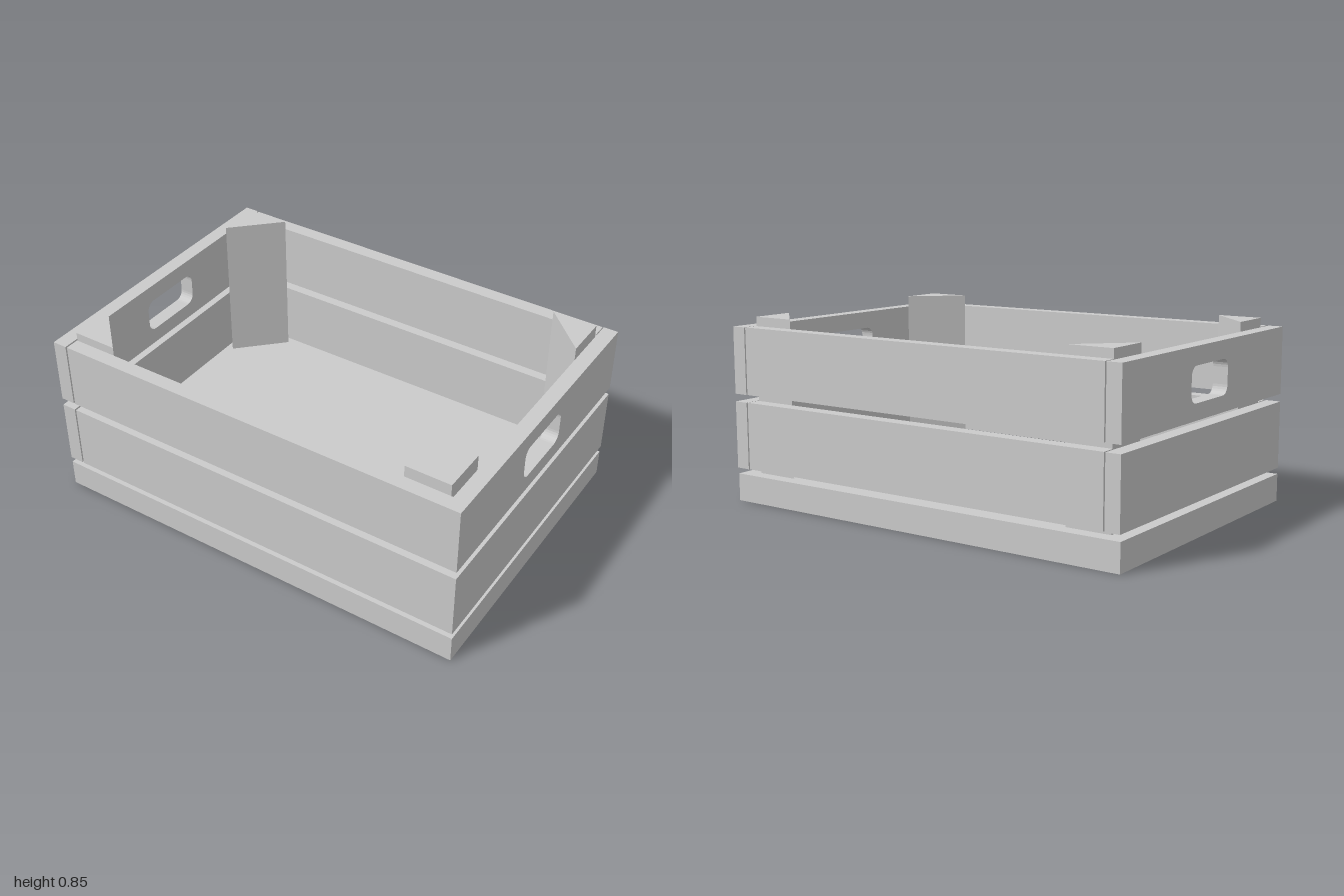
import * as THREE from 'three';

const material = new THREE.MeshStandardMaterial({ color: 0xcccccc, flatShading: true });

function add(group, name, geometry) {
  const mesh = new THREE.Mesh(geometry, material);
  mesh.name = name;
  group.add(mesh);
  return mesh;
}

// Box given by its extents along each axis
function board(group, name, [x0, x1], [y0, y1], [z0, z1]) {
  const mesh = add(group, name, new THREE.BoxGeometry(x1 - x0, y1 - y0, z1 - z0));
  mesh.position.set((x0 + x1) / 2, (y0 + y1) / 2, (z0 + z1) / 2);
}

// Rounded hand hole, drawn in (z, y)
function handHole(w, y0, y1, r) {
  const p = new THREE.Path();
  p.moveTo(-w + r, y0);
  p.lineTo(w - r, y0);
  p.absarc(w - r, y0 + r, r, -Math.PI / 2, 0);
  p.absarc(w - r, y1 - r, r, 0, Math.PI / 2);
  p.absarc(-w + r, y1 - r, r, Math.PI / 2, Math.PI);
  p.absarc(-w + r, y0 + r, r, Math.PI, Math.PI * 1.5);
  return p;
}

// Upper end board with the hand hole cut through, from x0 to x1
function handleBoard(group, name, [x0, x1], [y0, y1], [z0, z1]) {
  // Shape x becomes -z once the extrusion is turned to run along +x
  const shape = new THREE.Shape([[-z1, y0], [-z0, y0], [-z0, y1], [-z1, y1]]
    .map(([a, b]) => new THREE.Vector2(a, b)));
  shape.holes.push(handHole(0.16, 0.563, 0.716, 0.04));
  const geometry = new THREE.ExtrudeGeometry(shape, { depth: x1 - x0, bevelEnabled: false, curveSegments: 3 });
  geometry.rotateY(Math.PI / 2);
  add(group, name, geometry).position.x = x0;
}

// Triangular corner post standing on the floor
function cornerPost(group, name, sx, sz, top) {
  const x = 0.923 * sx, z = 0.635 * sz, leg = 0.205;
  const shape = new THREE.Shape([
    new THREE.Vector2(x, -z),
    new THREE.Vector2(x - leg * sx, -z),
    new THREE.Vector2(x, -z + leg * sz),
  ]);
  const geometry = new THREE.ExtrudeGeometry(shape, { depth: top - 0.125, bevelEnabled: false });
  geometry.rotateX(-Math.PI / 2);
  add(group, name, geometry).position.y = 0.125;
}

export function createModel() {
  const crate = new THREE.Group();
  crate.name = 'crate';

  board(crate, 'floor', [-1, 1], [0, 0.125], [-0.698, 0.698]);

  // Two rows of side boards
  const rows = [['lower', 0.153, 0.457], ['upper', 0.492, 0.795]];
  for (const [row, y0, y1] of rows) {
    const y = [y0, y1];
    board(crate, row + 'FrontBoard', [-0.925, 1], y, [0.635, 0.7]);
    board(crate, row + 'BackBoard', [-0.925, 0.928], y, [-0.7, -0.635]);
    const end = row === 'upper' ? handleBoard : board;
    end(crate, row + 'LeftEndBoard', [0.932, 1], y, [-0.703, 0.635]);
    end(crate, row + 'RightEndBoard', [-1, -0.933], y, [-0.703, 0.7]);
  }

  // Corner posts rise slightly above the boards
  cornerPost(crate, 'frontLeftPost', 1, 1, 0.848);
  cornerPost(crate, 'frontRightPost', -1, 1, 0.835);
  cornerPost(crate, 'backLeftPost', 1, -1, 0.837);
  cornerPost(crate, 'backRightPost', -1, -1, 0.835);

  return crate;
}
